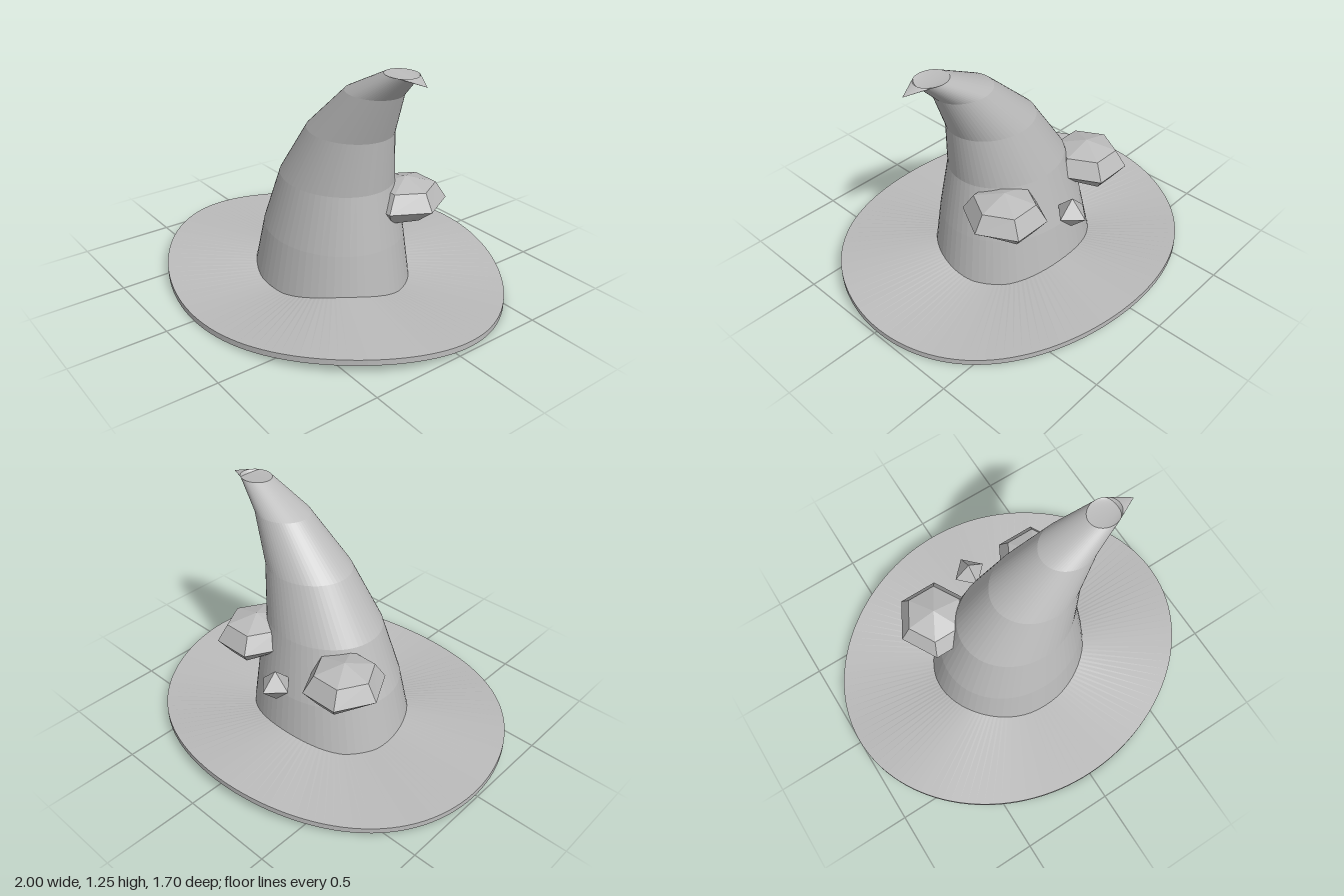
import * as THREE from 'three';

const grey = new THREE.MeshStandardMaterial({ color: 0xbbbbbb, flatShading: true, side: THREE.DoubleSide });
grey.name = 'grey felt';

// Skins a list of ring functions (angle -> [x, y, z]) with quads
function loft(name, rings, sides) {
  const pos = [], index = [];
  for (const ring of rings) {
    for (let i = 0; i < sides; i++) pos.push(...ring((i / sides) * Math.PI * 2));
  }
  for (let j = 0; j < rings.length - 1; j++) {
    for (let i = 0; i < sides; i++) {
      const n = (i + 1) % sides;
      const a = j * sides + i, b = j * sides + n, c = a + sides, d = b + sides;
      index.push(a, c, b, b, c, d);
    }
  }
  const geo = new THREE.BufferGeometry();
  geo.setAttribute('position', new THREE.Float32BufferAttribute(pos, 3));
  geo.setIndex(index);
  geo.computeVertexNormals();
  const mesh = new THREE.Mesh(geo, grey);
  mesh.name = name;
  return mesh;
}

const ellipse = (cx, y, rx, rz) => (a) => [cx + rx * Math.cos(a), y, rz * Math.sin(a)];

// Oval brim with three waves running out from the head hole
function brim() {
  const edge = (rx, rz, y) => (a) =>
    [rx * Math.cos(a), y + 0.0275 * Math.sin(3 * a), rz * Math.sin(a)];
  const low = 0.0275, high = 0.0575;
  return loft('brim', [
    edge(1, 0.85, low), edge(1, 0.85, high),
    edge(0.34, 0.29, high), edge(0.34, 0.29, low), edge(1, 0.85, low),
  ], 128);
}

// Oval crown leaning to one side, ending in a drooping point
function crown() {
  const sections = [ // centre x, height, x radius
    [0, 0.035, 0.457], [0.015, 0.3, 0.408], [0.048, 0.6, 0.328],
    [0.157, 0.88, 0.243], [0.34, 1.12, 0.157], [0.53, 1.25, 0.09],
  ];
  const rings = sections.map(([cx, y, r]) => ellipse(cx, y, r, r * 0.86));
  rings.push(ellipse(0.7, 1.227, 0, 0));
  return loft('crown', rings, 64);
}

// Six-sided cut gem
function gem(name, x) {
  const mesh = loft(name, [
    ellipse(0, -0.08, 0, 0), ellipse(0, -0.08, 0.11, 0.155),
    ellipse(0, 0, 0.208, 0.22), ellipse(0, 0.09, 0.155, 0.16), ellipse(0, 0.133, 0, 0),
  ], 6);
  mesh.position.set(x, 0.48, -0.24);
  return mesh;
}

export function createModel() {
  const hat = new THREE.Group();
  hat.name = 'pointedHat';
  hat.add(brim(), crown(), gem('leftGem', 0.315), gem('rightGem', -0.315));

  // Small diamond at the back
  const diamond = new THREE.Mesh(new THREE.OctahedronGeometry(0.09), grey);
  diamond.name = 'backDiamond';
  diamond.position.set(0, 0.4, -0.412);
  hat.add(diamond);
  return hat;
}
